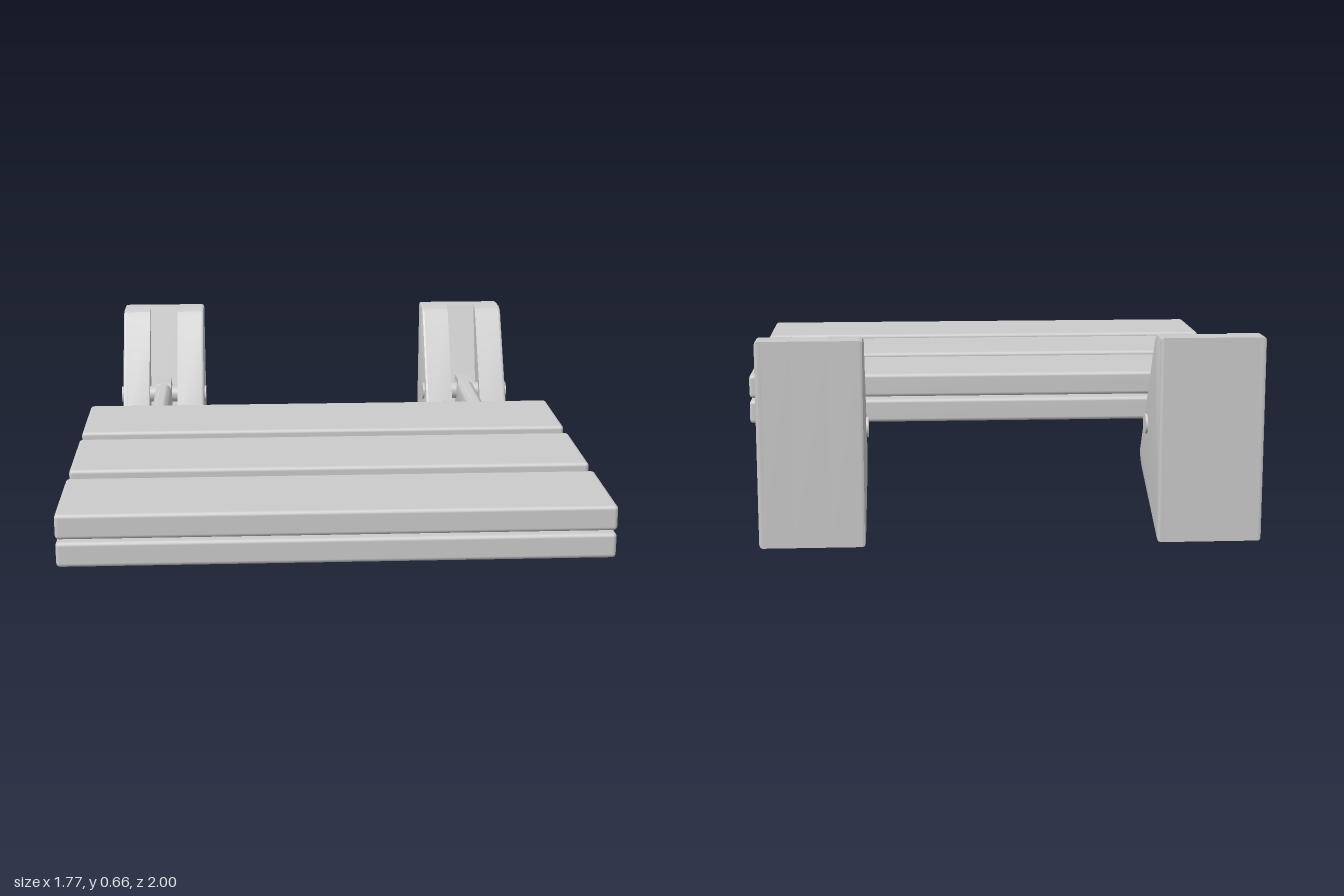
import * as THREE from 'three';
import { RoundedBoxGeometry } from 'three/addons/geometries/RoundedBoxGeometry.js';
import { toCreasedNormals } from 'three/addons/utils/BufferGeometryUtils.js';

const grey = new THREE.MeshStandardMaterial({ color: 0xcccccc });
const BRACKET_X = 0.628, HALF_WIDTH = 0.167, HALF_SLOT = 0.058, BEVEL = 0.01;

function addMesh(parent, name, geometry) {
  const mesh = new THREE.Mesh(geometry, grey);
  mesh.name = name;
  parent.add(mesh);
  return mesh;
}

// Extrude a side profile of [z, y] points from x0 to x1
function slab(points, x0, x1, bevel = 0) {
  const shape = new THREE.Shape(points.map(([z, y]) => new THREE.Vector2(z, y)));
  const geometry = new THREE.ExtrudeGeometry(shape, {
    depth: x1 - x0, bevelEnabled: bevel > 0, bevelThickness: bevel,
    bevelSize: bevel, bevelOffset: -bevel, bevelSegments: 2,
  });
  geometry.rotateY(-Math.PI / 2).translate(x1, 0, 0);
  return toCreasedNormals(geometry, 0.5);
}

// Wedge-shaped cheek, and the shallower core that closes the slot at the back
const cheekProfile = [
  [-1, 0], [-0.645, 0.153], [-0.615, 0.175], [-0.6, 0.198], [-0.605, 0.222],
  [-0.87, 0.632], [-0.885, 0.648], [-0.91, 0.656], [-1, 0.656],
];
const coreProfile = [[-1, 0], [-0.73, 0.116], [-0.925, 0.656], [-1, 0.656]];
// Stop at the arm's end that leans on the slot's back wall
const heelProfile = [
  [-0.66, 0.3], [-0.66, 0.19], [-0.69, 0.165], [-0.738, 0.145],
  [-0.815, 0.36], [-0.79, 0.385], [-0.7, 0.385],
];

function createBracket() {
  const bracket = new THREE.Group();
  bracket.name = 'wallBracket';
  addMesh(bracket, 'bracketCore', slab(coreProfile, -HALF_SLOT, HALF_SLOT));
  const outer = HALF_WIDTH - BEVEL;
  addMesh(bracket, 'rightCheek', slab(cheekProfile, -outer, -HALF_SLOT));
  addMesh(bracket, 'leftCheek', slab(cheekProfile, HALF_SLOT, outer));
  // Softened outer faces of the cheeks
  addMesh(bracket, 'rightCheekEdge', slab(cheekProfile, -outer, -outer + 0.01, BEVEL));
  addMesh(bracket, 'leftCheekEdge', slab(cheekProfile, outer - 0.01, outer, BEVEL));
  // Hinge pin through both cheeks
  const pin = new THREE.CylinderGeometry(0.033, 0.033, 0.35, 32).rotateZ(Math.PI / 2);
  addMesh(bracket, 'hingePin', pin).position.set(0, 0.33, -0.745);
  return bracket;
}

// Support arm with a flat-sided, round-topped section
function createArm() {
  const arm = new THREE.Group();
  arm.name = 'supportArm';
  const r = 0.033, h = 0.022, start = -0.79, end = 0.94;
  const section = new THREE.Shape();
  section.absarc(0, h, r, 0, Math.PI);
  section.absarc(0, -h, r, Math.PI, Math.PI * 2);
  section.closePath();
  const rod = new THREE.ExtrudeGeometry(section, { depth: end - start, bevelEnabled: false, curveSegments: 16 });
  rod.translate(0, 0.33, start);
  addMesh(arm, 'armRod', toCreasedNormals(rod, 0.6));
  addMesh(arm, 'armHeel', slab(heelProfile, -0.03, 0.03));
  return arm;
}

export function createModel() {
  const model = new THREE.Group();
  model.name = 'foldingWallSeat';

  // Three pairs of slats, clamped above and below the arms
  for (const z of [0.815, 0.367, -0.08]) {
    for (const [name, y] of [['lowerSlat', 0.283], ['upperSlat', 0.375]]) {
      const slat = new RoundedBoxGeometry(1.77, 0.083, 0.37, 2, 0.013);
      addMesh(model, name, slat).position.set(0, y, z);
    }
  }

  // Bracket and arm on each side
  for (const side of [-1, 1]) {
    const support = new THREE.Group();
    support.name = side > 0 ? 'leftSupport' : 'rightSupport';
    support.position.x = side * BRACKET_X;
    support.add(createBracket(), createArm());
    model.add(support);
  }
  return model;
}
